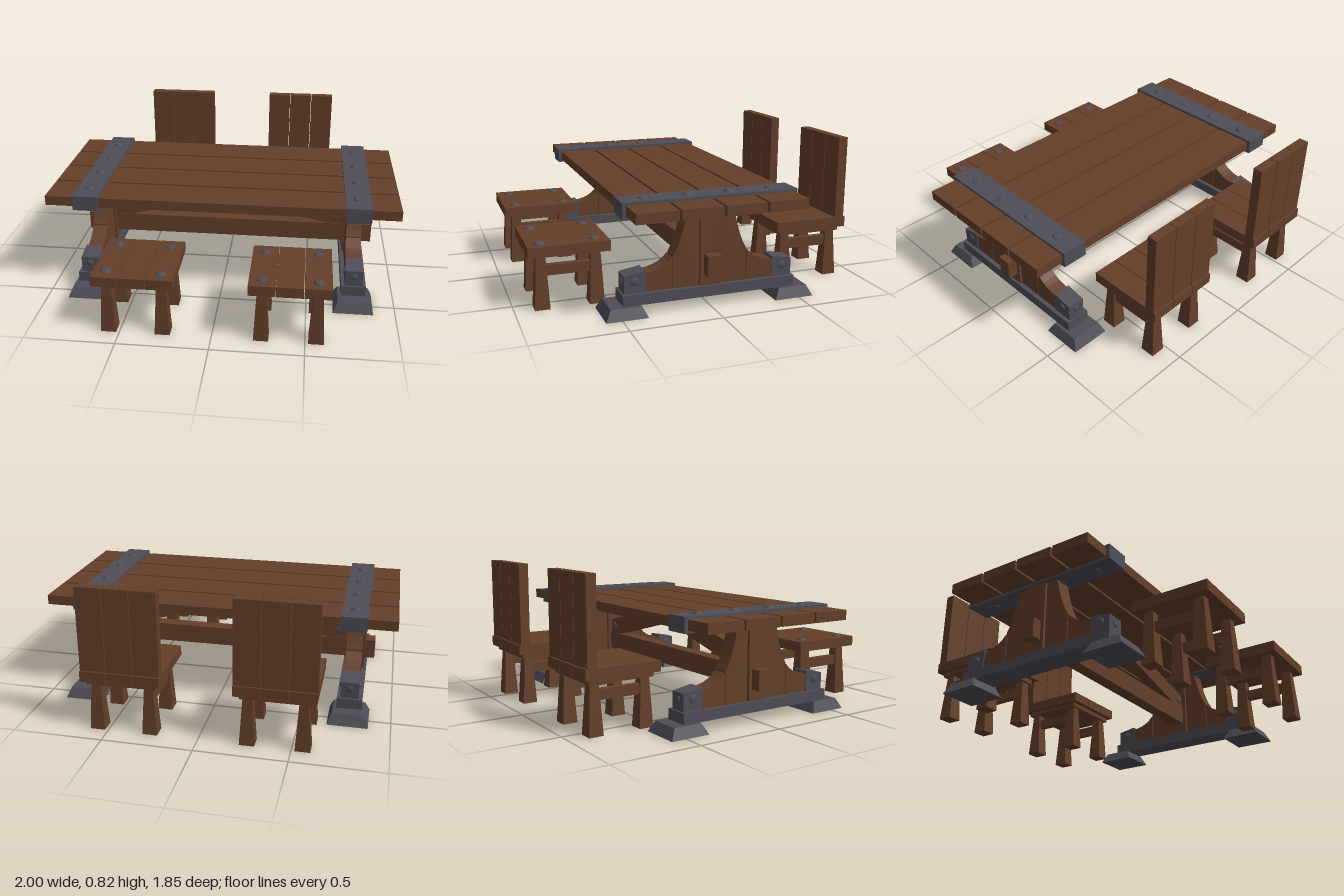
import * as THREE from 'three';

export function createModel() {
  const wood = new THREE.MeshStandardMaterial({ color: 0x643f2a });
  wood.name = 'brown wood';
  const iron = new THREE.MeshStandardMaterial({ color: 0x4f4d56 });
  iron.name = 'dark iron';
  const model = new THREE.Group();
  model.name = 'diningSet';

  const add = (parent, name, geometry, material, x, y, z) => {
    const mesh = new THREE.Mesh(geometry, material);
    mesh.name = name;
    mesh.position.set(x, y, z);
    parent.add(mesh);
    return mesh;
  };
  const group = (name, x, z) => {
    const g = new THREE.Group();
    g.name = name;
    g.position.set(x, 0, z);
    model.add(g);
    return g;
  };
  // Box given by its limits on each axis
  const block = (parent, name, material, [x0, x1], [y0, y1], [z0, z1]) =>
    add(parent, name, new THREE.BoxGeometry(x1 - x0, y1 - y0, z1 - z0), material,
      (x0 + x1) / 2, (y0 + y1) / 2, (z0 + z1) / 2);
  // Box standing on y = 0 whose top is narrower than its base
  const tapered = (w, d, topW, topD, h) => {
    const g = new THREE.BoxGeometry(w, h, d).translate(0, h / 2, 0);
    const p = g.attributes.position;
    for (let i = 0; i < p.count; i++) {
      if (p.getY(i) > h / 2) p.setXYZ(i, p.getX(i) * topW / w, h, p.getZ(i) * topD / d);
    }
    g.computeVertexNormals();
    return g;
  };
  // Domed bolt head pointing along an axis
  const boltShape = new THREE.LatheGeometry(
    [[1, -0.3], [1, 0.12], [0.75, 0.3], [0, 0.36]].map(([x, y]) => new THREE.Vector2(x, y)), 10);
  const bolt = (parent, x, y, z, dir, r = 0.028) => {
    const b = add(parent, 'bolt', boltShape, iron, x, y, z);
    b.scale.setScalar(r);
    b.quaternion.setFromUnitVectors(new THREE.Vector3(0, 1, 0), new THREE.Vector3(...dir));
  };
  // Outline in (z, y), extruded along x
  const sidePanel = (shape, thickness) =>
    new THREE.ExtrudeGeometry(shape, { depth: thickness, bevelEnabled: false, curveSegments: 5 })
      .translate(0, 0, -thickness / 2).rotateY(-Math.PI / 2);

  // Table top planks
  const table = group('table', 0, 0);
  const rows = [-0.354, -0.118, 0.118, 0.354];
  for (const z of rows) block(table, 'topPlank', wood, [-1, 1], [0.535, 0.59], [z - 0.111, z + 0.111]);

  // Long stretcher beam through both trestles
  block(table, 'stretcherBeam', wood, [-0.88, 0.88], [0.18, 0.292], [-0.04, 0.04]);

  for (const s of [-1, 1]) {
    // Iron strap around the top
    const end = group('tableEnd', s * 0.765, 0);
    block(end, 'ironStrap', iron, [-0.072, 0.072], [0.52, 0.605], [-0.486, 0.486]);
    for (const z of rows) {
      bolt(end, 0, 0.605, z, [0, 1, 0]);
      bolt(end, 0, 0.52, z, [0, -1, 0]);
    }

    // Trestle: centre post, flared side planks and curved outer pieces
    block(end, 'trestlePost', wood, [-0.058, 0.058], [0.115, 0.525], [-0.06, 0.06]);
    block(end, 'sillBeam', iron, [-0.07, 0.07], [0.058, 0.117], [-0.486, 0.486]);
    for (const m of [-1, 1]) {
      const side = new THREE.Shape();
      side.moveTo(m * 0.063, 0.115);
      side.lineTo(m * 0.207, 0.115);
      side.lineTo(m * 0.207, 0.295);
      side.quadraticCurveTo(m * 0.16, 0.37, m * 0.133, 0.522);
      side.lineTo(m * 0.063, 0.522);
      add(end, 'trestleSidePlank', sidePanel(side, 0.09), wood, 0, 0, 0);

      const outer = new THREE.Shape();
      outer.moveTo(m * 0.211, 0.115);
      outer.lineTo(m * 0.365, 0.115);
      outer.lineTo(m * 0.365, 0.215);
      outer.quadraticCurveTo(m * 0.26, 0.225, m * 0.211, 0.288);
      add(end, 'trestleOuterPiece', sidePanel(outer, 0.09), wood, 0, 0, 0);

      // Iron end bracket, sloping down towards the outside
      const bracket = new THREE.Shape([[0.36, 0.115], [0.475, 0.115], [0.475, 0.212], [0.36, 0.232]]
        .map(([z, y]) => new THREE.Vector2(m * z, y)));
      add(end, 'endBracket', sidePanel(bracket, 0.1), iron, 0, 0, 0);
      for (const t of [-1, 1]) bolt(end, t * 0.05, 0.18, m * 0.418, [t, 0, 0], 0.023);
      bolt(end, 0, 0.175, m * 0.475, [0, 0, m], 0.02);

      add(end, 'foot', tapered(0.225, 0.226, 0.175, 0.165, 0.058), iron, 0, 0, m * 0.473);
    }

    // Diagonal brace rising to the middle of the table
    const brace = new THREE.Shape([[0, 0.445], [0.61, 0.29], [0.705, 0.29], [0.705, 0.378], [0.06, 0.535], [0, 0.535]]
      .map(([x, y]) => new THREE.Vector2(s * x, y)));
    add(table, 'diagonalBrace', new THREE.ExtrudeGeometry(brace, { depth: 0.07, bevelEnabled: false }), wood, 0, 0, -0.035);
    for (const m of [-1, 1]) {
      bolt(table, s * 0.045, 0.487, m * 0.035, [0, 0, m], 0.024);
      bolt(table, s * 0.66, 0.34, m * 0.035, [0, 0, m], 0.024);
    }
  }

  // Seats: stools at the front, chairs with backs at the rear
  for (const s of [-1, 1]) {
    for (const front of [true, false]) {
      const seat = group(front ? 'stool' : 'chair', s * 0.412, front ? 0.707 : -0.707);
      const legTop = front ? 0.3 : 0.272;
      for (const i of [-1, 0, 1]) {
        const x = i * 0.1457;
        block(seat, 'seatPlank', wood, [x - 0.071, x + 0.071], [0.297, 0.355], [-0.218, 0.218]);
        if (!front) block(seat, 'backPlank', wood, [x - 0.071, x + 0.071], [0.355, 0.822], [-0.207, -0.152]);
      }
      if (!front) block(seat, 'seatFrame', wood, [-0.19, 0.19], [0.27, 0.299], [-0.188, 0.188]);
      for (const x of [-0.147, 0.147]) {
        for (const z of [-0.147, 0.147]) {
          add(seat, 'leg', tapered(0.082, 0.082, 0.05, 0.05, legTop), wood, x, 0, z);
          if (front) bolt(seat, x, 0.355, z, [0, 1, 0]);
        }
        block(seat, 'legStretcher', wood, [x - 0.018, x + 0.018], [0.18, 0.236], [-0.14, 0.14]);
      }
    }
  }
  return model;
}
